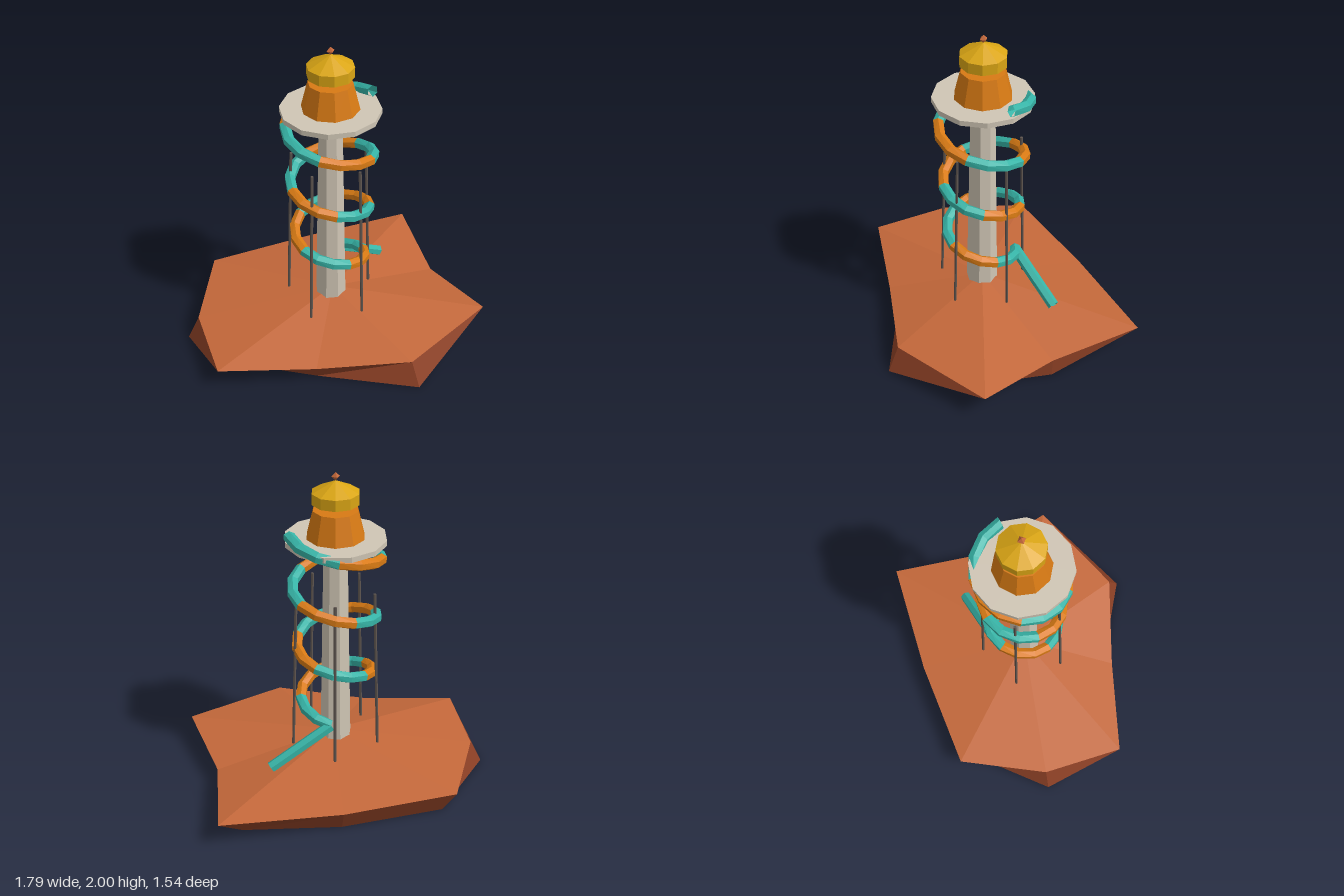
import * as THREE from 'three';

const CX = 0.01, CZ = -0.055; // tower axis

const mat = (name, color, extra = {}) => {
  const m = new THREE.MeshStandardMaterial({ color, flatShading: true, ...extra });
  m.name = name;
  return m;
};

function facets(points) {
  const g = new THREE.BufferGeometry();
  g.setAttribute('position', new THREE.Float32BufferAttribute(points.flatMap(p => [p.x, p.y, p.z]), 3));
  g.computeVertexNormals();
  return g;
}

// Faceted open tube through points with given tangents, one corner on top
function tube(points, tangents, radius, sides = 6) {
  const up = new THREE.Vector3(0, 1, 0);
  const rings = points.map((p, i) => {
    const t = tangents[i].clone().normalize();
    const r = t.clone().cross(up).normalize();
    const u = r.clone().cross(t);
    return Array.from({ length: sides }, (_, k) => {
      const a = (k / sides) * Math.PI * 2;
      return p.clone().addScaledVector(r, radius * Math.sin(a)).addScaledVector(u, radius * Math.cos(a));
    });
  });
  const tris = [];
  for (let i = 0; i + 1 < rings.length; i++) {
    for (let k = 0; k < sides; k++) {
      const n = (k + 1) % sides, a = rings[i], b = rings[i + 1];
      tris.push(a[k], a[n], b[n], a[k], b[n], b[k]);
    }
  }
  return facets(tris);
}

export function createModel() {
  const model = new THREE.Group();
  model.name = 'slideTower';
  const soil = mat('island top', 0xc4683a);
  const rock = mat('island rock', 0x8c4025);
  const stone = mat('pale stone', 0xcfc5b4);
  const orange = mat('orange', 0xd87a14, { side: THREE.DoubleSide });
  const teal = mat('teal', 0x36b3a6, { side: THREE.DoubleSide });
  const gold = mat('gold', 0xdaa514);
  const iron = mat('dark iron', 0x5e554f);

  const add = (name, geometry, material, parent = model) => {
    const m = new THREE.Mesh(geometry, material);
    m.name = name;
    parent.add(m);
    return m;
  };

  // Island: irregular nine-sided rim over a base outline
  const v = a => new THREE.Vector3(...a);
  const rim = [
    [-0.524, 0.165, -0.77], [0.173, 0.155, -0.733], [0.894, 0.172, -0.627],
    [0.78, 0.12, -0.05], [0.84, 0.175, 0.49], [0.185, 0.152, 0.688],
    [-0.345, 0.117, 0.44], [-0.9, 0.15, 0.21], [-0.827, 0.15, -0.295],
  ].map(v);
  const base = [
    [-0.47, 0, -0.69], [0.16, 0, -0.66], [0.73, 0, -0.51],
    [0.78, 0, -0.05], [0.61, 0, 0.34], [0.197, 0, 0.767],
    [-0.315, 0, 0.39], [-0.62, 0, 0.14], [-0.9, 0, -0.31],
  ].map(v);
  const peak = v([0.02, 0.27, -0.05]), floor = v([0, 0, 0]);
  const topTris = [], rockTris = [];
  rim.forEach((t, i) => {
    const j = (i + 1) % rim.length;
    topTris.push(peak, rim[j], t);
    rockTris.push(t, rim[j], base[j], t, base[j], base[i], floor, base[i], base[j]);
  });
  add('islandTop', facets(topTris), soil);
  add('islandRock', facets(rockTris), rock);

  // Tower stack: each part runs from y0 to y1
  const stack = (name, rBottom, rTop, y0, y1, sides, turn, material) => {
    const g = new THREE.CylinderGeometry(rTop, rBottom, y1 - y0, sides);
    g.rotateY(turn);
    add(name, g, material).position.set(CX, (y0 + y1) / 2, CZ);
  };
  const quarter = Math.PI / 2;
  stack('column', 0.1, 0.072, 0.22, 1.59, 8, 0, stone);
  stack('platform', 0.298, 0.298, 1.582, 1.614, 12, 0, stone);
  stack('cabin', 0.173, 0.132, 1.614, 1.78, 10, quarter, orange);
  stack('roofBand', 0.139, 0.139, 1.82, 1.885, 10, quarter, gold);
  stack('roof', 0.139, 0, 1.885, 1.952, 10, quarter, gold);
  add('finial', new THREE.OctahedronGeometry(0.025), soil).position.set(CX, 1.975, CZ);

  // Five leaning support poles
  const poles = new THREE.Group();
  poles.name = 'supportPoles';
  model.add(poles);
  for (let i = 0; i < 5; i++) {
    const a = (i / 5) * Math.PI * 2;
    const at = (r, y) => new THREE.Vector3(CX + r * Math.cos(a), y, CZ + r * Math.sin(a));
    const lo = at(0.278, 0.22), hi = at(0.24, 1.28);
    const pole = add('pole', new THREE.CylinderGeometry(0.009, 0.009, lo.distanceTo(hi), 6), iron, poles);
    pole.position.copy(lo).add(hi).multiplyScalar(0.5);
    pole.quaternion.setFromUnitVectors(new THREE.Vector3(0, 1, 0), hi.clone().sub(lo).normalize());
  }

  // Spiral slide: fifteen runs of three straight pieces in alternating colours
  const slide = new THREE.Group();
  slide.name = 'spiralSlide';
  model.add(slide);
  const RUNS = 15, PIECES = 3, TURN = 1145 * Math.PI / 180, TUBE = 0.035;
  const helix = s => {
    const a = s * TURN, r = 0.275 - 0.063 * s;
    return new THREE.Vector3(CX + r * Math.cos(a), 1.65 - 1.205 * s, CZ - r * Math.sin(a));
  };
  const tangent = s => helix(s + 1e-4).sub(helix(s - 1e-4));
  for (let i = 0; i < RUNS; i++) {
    const steps = Array.from({ length: PIECES + 1 }, (_, k) => (i + k / PIECES) / RUNS);
    add('slideRun', tube(steps.map(helix), steps.map(tangent), TUBE), i % 2 ? orange : teal, slide);
  }

  // Straight exit chute turning back outward
  const start = helix(1), end = new THREE.Vector3(0.49, 0.235, -0.272);
  const dir = end.clone().sub(start);
  add('exitChute', tube([start, end], [dir, dir], TUBE), teal, slide);

  return model;
}
